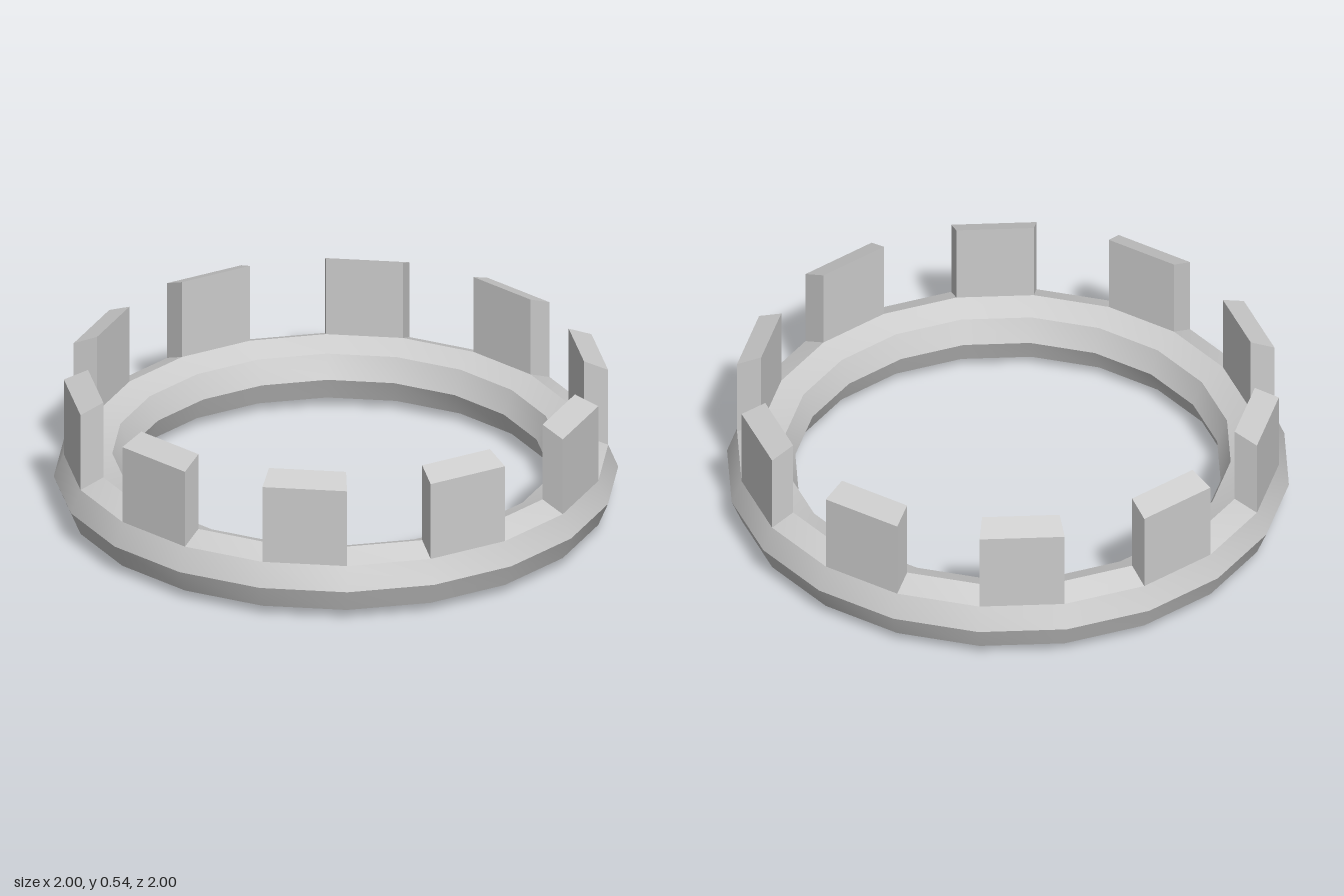
import * as THREE from 'three';
import { toCreasedNormals } from 'three/addons/utils/BufferGeometryUtils.js';

const SIDES = 20;          // segments around the ring
const MID = 0.8785;        // radius of the band's centre line
const TUBE = 0.1215;       // radius of the octagonal section
const RISE = 0.293;        // height of the merlons above the band
const STEP = (Math.PI * 2) / SIDES;

export function createModel() {
  const group = new THREE.Group();
  const material = new THREE.MeshStandardMaterial({ color: 0xcccccc });

  // Octagonal section of the band, standing on y = 0
  const section = [];
  for (let i = 0; i <= 8; i++) {
    const a = (i / 8) * Math.PI * 2;
    section.push(new THREE.Vector2(MID + TUBE * Math.cos(a), TUBE + TUBE * Math.sin(a)));
  }

  // Band: smooth around, sharp between the eight facets
  const band = new THREE.Mesh(
    toCreasedNormals(new THREE.LatheGeometry(section, SIDES), Math.PI / 6),
    material
  );
  band.name = 'band';
  group.add(band);

  // Merlon: a box bent onto the band's upper outer facet, raised straight up
  const outer = section[1], inner = section[2];
  const box = new THREE.BoxGeometry(1, 1, 1);
  const pos = box.attributes.position;
  for (let i = 0; i < pos.count; i++) {
    const edge = pos.getZ(i) > 0 ? outer : inner;
    const angle = pos.getX(i) * STEP;
    const y = edge.y + (pos.getY(i) > 0 ? RISE : 0);
    pos.setXYZ(i, edge.x * Math.sin(angle), y, edge.x * Math.cos(angle));
  }
  const merlonGeometry = box.toNonIndexed();
  merlonGeometry.computeVertexNormals();

  // Merlons on every second segment
  for (let i = 1; i < SIDES; i += 2) {
    const merlon = new THREE.Mesh(merlonGeometry, material);
    merlon.name = 'merlon';
    merlon.rotation.y = (i + 0.5) * STEP;
    group.add(merlon);
  }

  return group;
}
